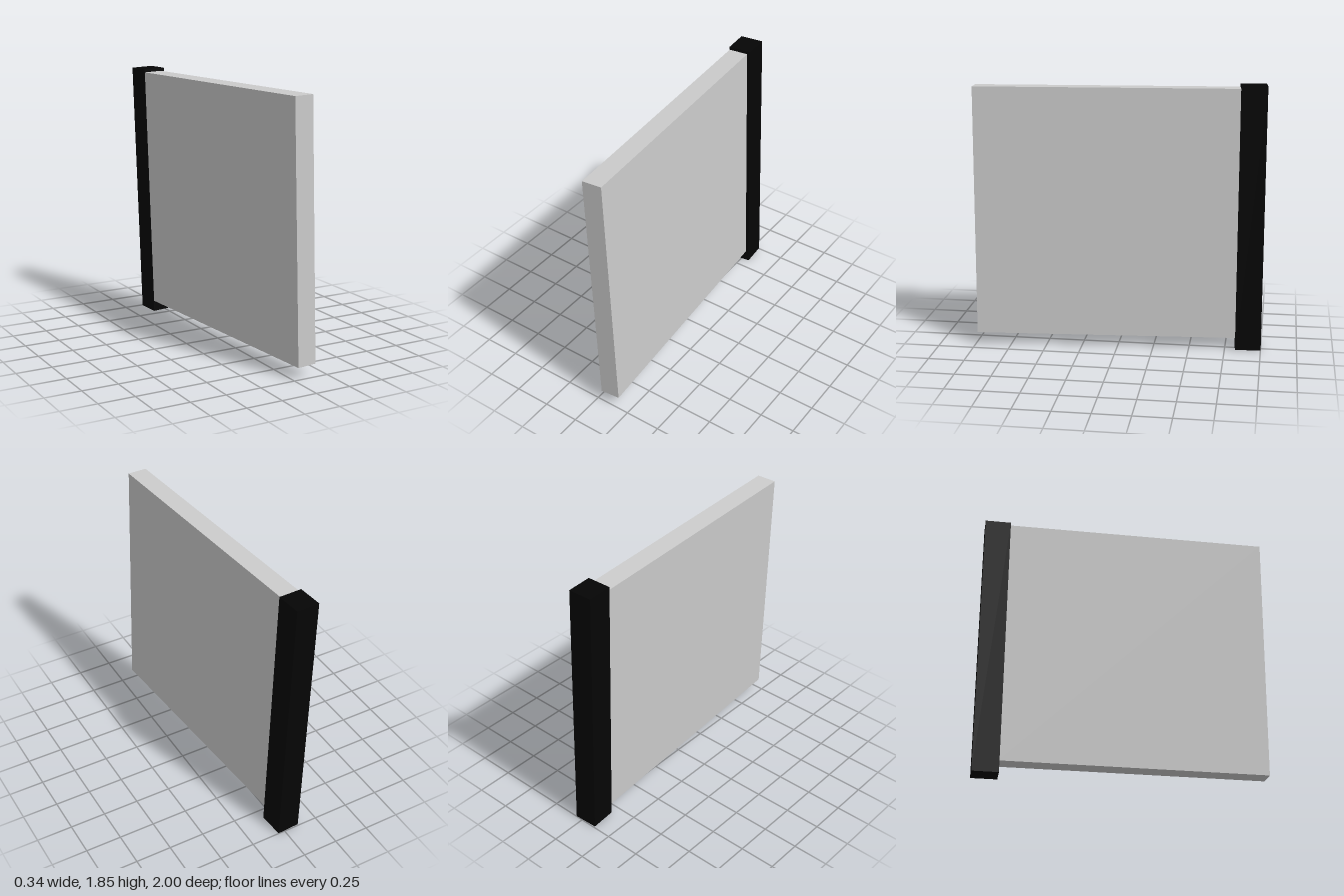
import * as THREE from 'three';

const YAW = 0.0725;
const LEAN = 0.032;

// Box that shares the slight turn and lean of the whole model
function leaningBox(name, size, position, color) {
  const mesh = new THREE.Mesh(
    new THREE.BoxGeometry(...size),
    new THREE.MeshStandardMaterial({ color })
  );
  mesh.name = name;
  mesh.position.set(...position);
  mesh.rotation.set(0, YAW, LEAN);
  return mesh;
}

export function createModel() {
  const model = new THREE.Group();
  model.name = 'panelOnPost';
  // Broad flat panel
  model.add(leaningBox('panel', [0.137, 1.74, 1.82], [0.006, 0.952, 0.086], 0xcccccc));
  // Dark upright post along the rear edge
  model.add(leaningBox('post', [0.163, 1.841, 0.178], [-0.054, 0.923, -0.905], 0x050505));
  return model;
}
